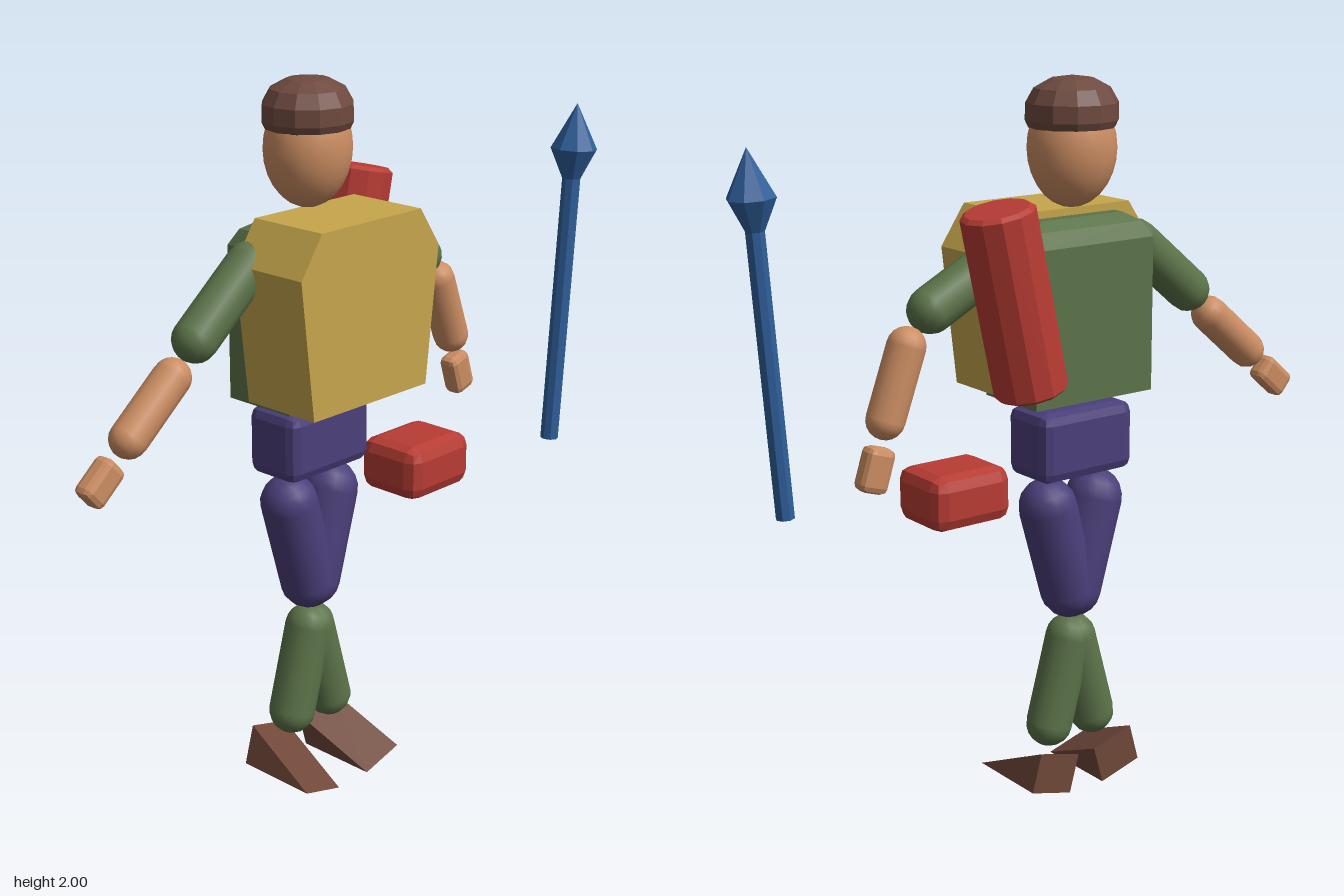
import * as THREE from 'three';
import { RoundedBoxGeometry } from 'three/addons/geometries/RoundedBoxGeometry.js';

const CX = -0.04, CZ = -0.05; // middle of the body
const mat = (color, flatShading = false) => new THREE.MeshStandardMaterial({ color, flatShading });

export function createModel() {
  const model = new THREE.Group();
  const tan = mat(0xc6a54c, true);
  const green = mat(0x5c7349), greenFlat = mat(0x5c7349, true);
  const skin = mat(0xcb8d62), skinFlat = mat(0xcb8d62, true);
  const purple = mat(0x4b3f7a), purpleFlat = mat(0x4b3f7a, true);
  const red = mat(0xb83c34, true), blue = mat(0x2f5f9b, true);
  const brown = mat(0x70483a, true), hairMat = mat(0x6e4a3f, true);

  const add = (name, geometry, material, x = 0, y = 0, z = 0, rz = 0) => {
    const mesh = new THREE.Mesh(geometry, material);
    mesh.name = name;
    mesh.position.set(x, y, z);
    mesh.rotation.z = rz;
    model.add(mesh);
    return mesh;
  };

  // Capsule between two joint centres in the body plane
  const limb = (name, material, r, [x1, y1], [x2, y2]) => {
    const dx = x1 - x2, dy = y1 - y2;
    add(name, new THREE.CapsuleGeometry(r, Math.hypot(dx, dy), 5, 14), material,
      (x1 + x2) / 2, (y1 + y2) / 2, CZ, -Math.atan2(dx, dy));
  };

  // Box with one chamfer along every edge
  const chamferBox = (w, h, d, c) => new RoundedBoxGeometry(w, h, d, 1, c);

  // Head and cap of hair
  const head = add('head', new THREE.SphereGeometry(1, 18, 14), skin, CX, 1.812, CZ);
  head.scale.set(0.123, 0.157, 0.114);
  const hairProfile = [[0, 1.866], [0.117, 1.866], [0.126, 1.885], [0.125, 1.93],
    [0.103, 1.968], [0.058, 1.992], [0, 2]].map(([r, y]) => new THREE.Vector2(r, y));
  add('hair', new THREE.LatheGeometry(hairProfile, 12), hairMat, CX, 0, CZ).scale.z = 0.96;

  // Chest plate: sloped shoulders, narrower waist
  const half = [[0.218, 1.163], [0.262, 1.545], [0.187, 1.655]];
  const outline = [...half, ...half.map(([x, y]) => [-x, y]).reverse()];
  const chest = new THREE.Shape(outline.map(([x, y]) => new THREE.Vector2(x, y)));
  add('chest', new THREE.ExtrudeGeometry(chest, { depth: 0.24, bevelEnabled: false }), tan, CX, 0, -0.06);

  // Torso block with a two-step chamfer at the top
  const torso = new THREE.BoxGeometry(0.392, 3, 0.224, 1, 3, 1);
  const levels = [[1.147, 0], [1.57, 0], [1.612, 0.022], [1.635, 0.06]];
  const p = torso.attributes.position;
  for (let i = 0; i < p.count; i++) {
    const [y, inset] = levels[Math.round(p.getY(i) + 1.5)];
    p.setXYZ(i, p.getX(i) - Math.sign(p.getX(i)) * inset, y,
      p.getZ(i) - Math.sign(p.getZ(i)) * inset);
  }
  add('torso', torso, greenFlat, CX, 0, -0.042);

  add('pelvis', chamferBox(0.307, 0.195, 0.175, 0.03), purpleFlat, CX, 1.022, -0.048);

  // Legs and wedge-shaped feet, mirrored
  const wedge = new THREE.Shape([new THREE.Vector2(-0.123, -0.0575),
    new THREE.Vector2(0.123, -0.0575), new THREE.Vector2(0.123, 0.0575)]);
  const footGeometry = new THREE.ExtrudeGeometry(wedge, { depth: 0.136, bevelEnabled: false });
  footGeometry.translate(0, 0, -0.068).rotateY(Math.PI / 2);
  for (const [side, s] of [['left', 1], ['right', -1]]) {
    limb(side + 'Thigh', purple, 0.081, [CX + s * 0.08, 0.838], [CX + s * 0.007, 0.583]);
    limb(side + 'Shin', green, 0.066, [CX + s * 0.007, 0.439], [CX + s * 0.075, 0.194]);
    add(side + 'Foot', footGeometry, brown, CX + s * 0.109, 0.074, -0.003, s * 0.27);
  }

  // Arms, each with its own pose
  const arms = [
    { side: 'right', shoulder: [-0.262, 1.54], elbow: [-0.453, 1.382], fore: [-0.537, 1.3],
      wrist: [-0.685, 1.175], hand: [-0.78, 1.084], turn: -0.86 },
    { side: 'left', shoulder: [0.23, 1.53], elbow: [0.414, 1.436], fore: [0.489, 1.352],
      wrist: [0.556, 1.17], hand: [0.595, 1.046], turn: 0.31 },
  ];
  for (const a of arms) {
    limb(a.side + 'UpperArm', green, 0.062, a.shoulder, a.elbow);
    limb(a.side + 'Forearm', skin, 0.052, a.fore, a.wrist);
    add(a.side + 'Hand', chamferBox(0.08, 0.12, 0.06, 0.018), skinFlat, ...a.hand, -0.055, a.turn);
  }

  // Tube on the back with slightly bevelled rims
  const tubeProfile = [[0, -0.25], [0.085, -0.25], [0.098, -0.24], [0.098, 0.24], [0.085, 0.25], [0, 0.25]]
    .map(([r, y]) => new THREE.Vector2(r, y));
  add('backTube', new THREE.LatheGeometry(tubeProfile, 12), red, 0.24, 1.453, -0.175, -0.214);

  // Pouch beside the hip
  add('pouch', chamferBox(0.25, 0.155, 0.207, 0.038), red, 0.265, 0.89, 0.073);

  // Spear, origin at the foot of the shaft
  const spearProfile = [[0, 0], [0.026, 0], [0.026, 0.77], [0.066, 0.855], [0, 0.982]]
    .map(([r, y]) => new THREE.Vector2(r, y));
  add('spear', new THREE.LatheGeometry(spearProfile, 8), blue, 0.712, 0.871, 0.207, -0.07);

  return model;
}
